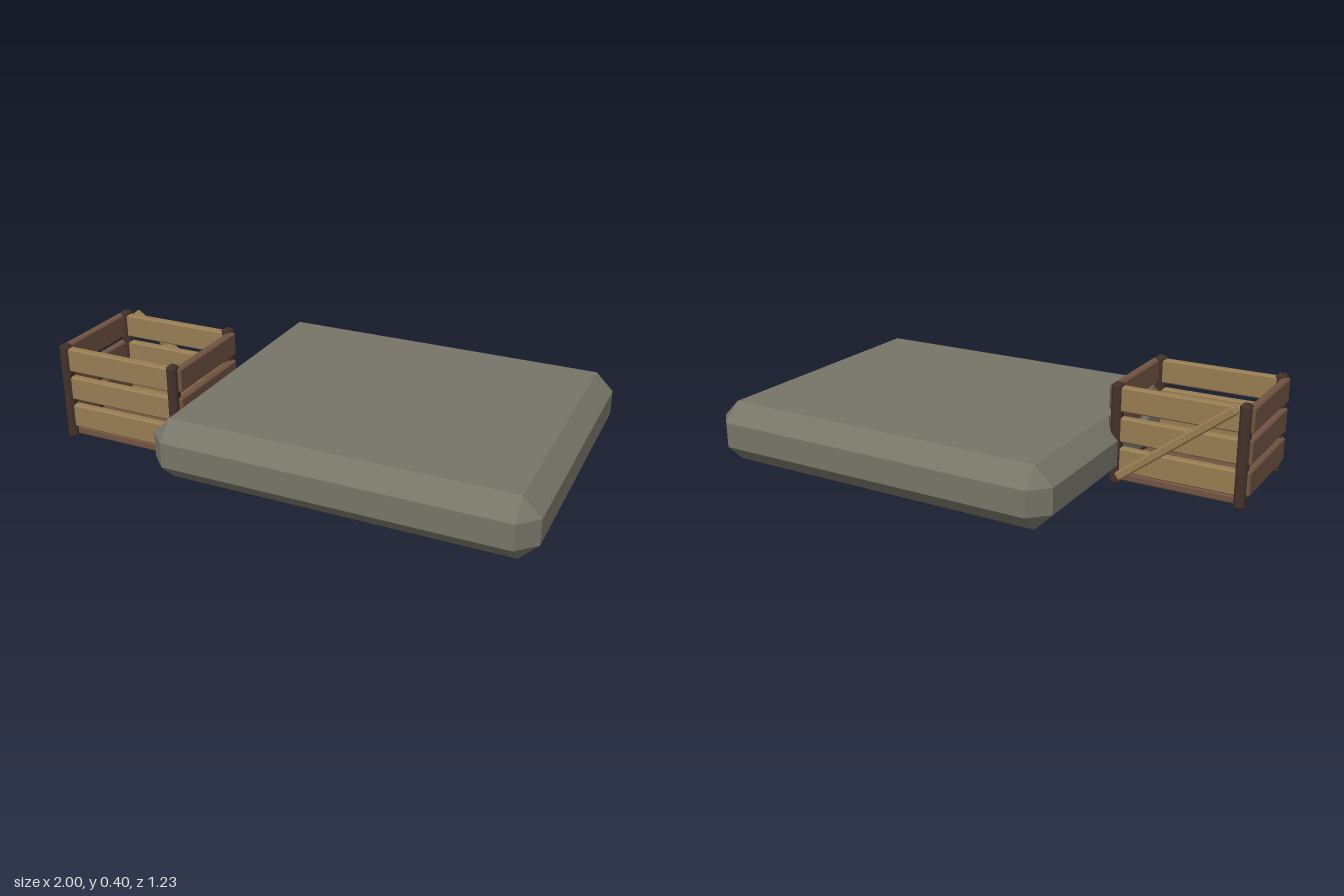
import * as THREE from 'three';
import { ConvexGeometry } from 'three/addons/geometries/ConvexGeometry.js';

const mat = (name, color) => {
  const m = new THREE.MeshStandardMaterial({ color });
  m.name = name;
  return m;
};

// Box with every edge chamfered by b and a small triangle at each corner
function chamferBox(w, h, d, b) {
  const pts = [];
  for (const sx of [-1, 1]) for (const sy of [-1, 1]) for (const sz of [-1, 1]) {
    const x = w / 2, y = h / 2, z = d / 2;
    pts.push(
      new THREE.Vector3(sx * x, sy * (y - b), sz * (z - b)),
      new THREE.Vector3(sx * (x - b), sy * y, sz * (z - b)),
      new THREE.Vector3(sx * (x - b), sy * (y - b), sz * z)
    );
  }
  return new ConvexGeometry(pts);
}

export function createModel() {
  const stone = mat('stone grey', 0x777568);
  const tan = mat('light wood', 0x967c52);
  const brown = mat('brown wood', 0x705342);
  const dark = mat('dark wood', 0x423029);

  const model = new THREE.Group();
  model.name = 'slabAndCrate';

  // Adds a chamfered block given its limits on each axis
  const block = (parent, name, material, [x0, x1], [y0, y1], [z0, z1], b) => {
    const mesh = new THREE.Mesh(chamferBox(x1 - x0, y1 - y0, z1 - z0, b), material);
    mesh.position.set((x0 + x1) / 2, (y0 + y1) / 2, (z0 + z1) / 2);
    mesh.name = name;
    parent.add(mesh);
    return mesh;
  };

  // Stone slab
  block(model, 'slab', stone, [-0.487, 1], [0.007, 0.25], [-0.615, 0.613], 0.071);

  // Crate, open at the top
  const crate = new THREE.Group();
  crate.name = 'crate';
  model.add(crate);

  // Corner posts
  for (const x of [-0.967, -0.473]) for (const z of [-0.003, 0.412]) {
    block(crate, 'post', dark, [x - 0.021, x + 0.021], [0, 0.402], [z - 0.022, z + 0.022], 0.009);
  }

  // Floor panel
  block(crate, 'floor', brown, [-0.97, -0.47], [0.012, 0.046], [-0.005, 0.414], 0.006);

  // Three rows of slats on each of the four sides
  for (const y of [0.05, 0.171, 0.292]) {
    const rows = [y, y + 0.098];
    block(crate, 'frontSlat', tan, [-0.965, -0.475], rows, [0.392, 0.426], 0.006);
    block(crate, 'backSlat', tan, [-0.965, -0.475], rows, [-0.017, 0.017], 0.006);
    block(crate, 'rightSlat', brown, [-1, -0.968], rows, [-0.006, 0.414], 0.006);
    block(crate, 'leftSlat', brown, [-0.472, -0.438], rows, [-0.006, 0.414], 0.006);
  }

  // Diagonal brace across the back
  const brace = block(crate, 'brace', tan, [-1.0, -0.435], [0.196, 0.23], [-0.05, -0.015], 0.006);
  brace.rotation.z = -Math.atan2(0.35, 0.45);

  return model;
}
